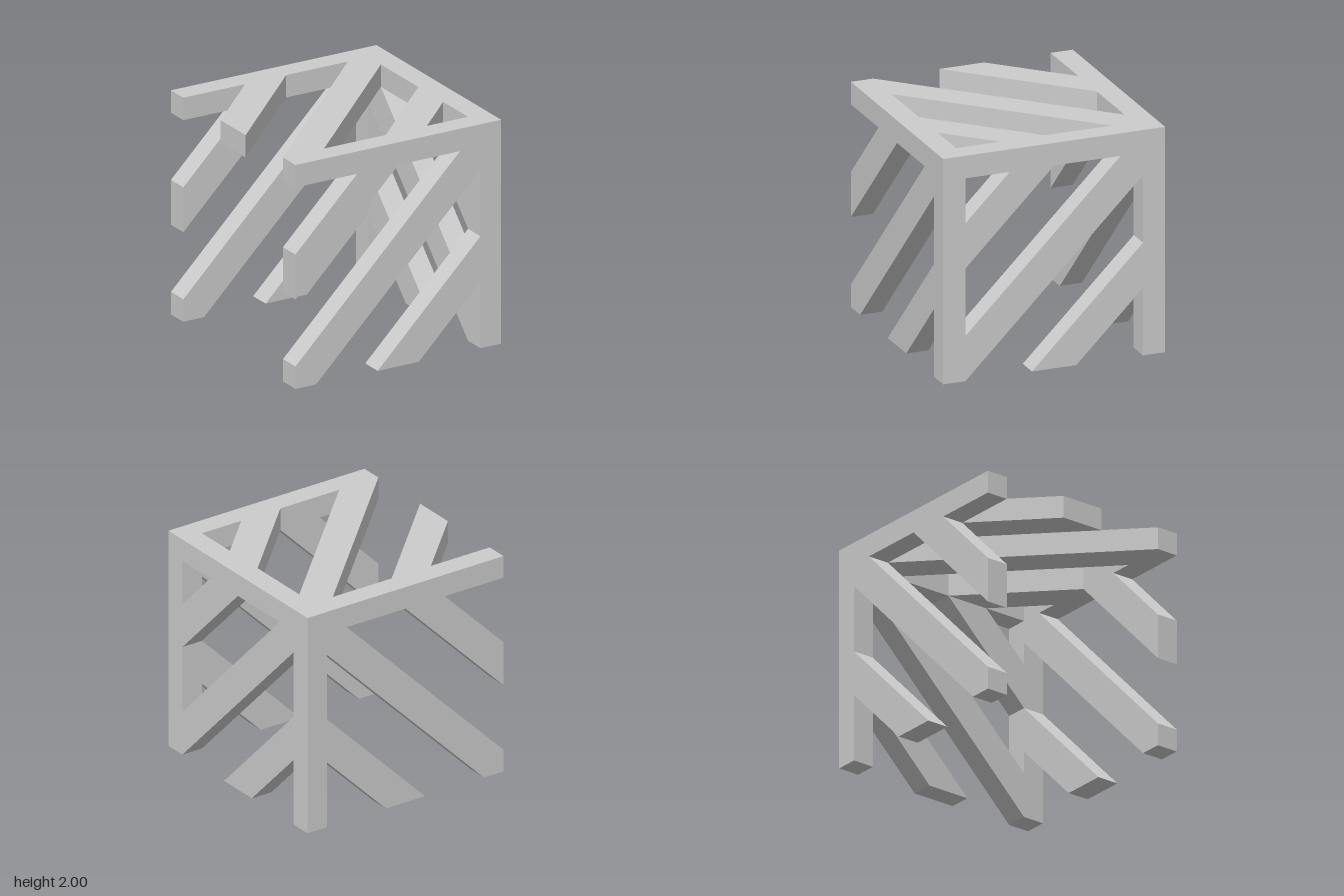
import * as THREE from 'three';

const T = 0.2; // thickness of every bar and slat
const material = new THREE.MeshStandardMaterial({ color: 0xcccccc, flatShading: true, side: THREE.DoubleSide });

export function createModel() {
  const model = new THREE.Group();

  const add = (parent, name, geometry) => {
    const mesh = new THREE.Mesh(geometry, material);
    mesh.name = name;
    parent.add(mesh);
    return mesh;
  };

  const bar = (name, w, h, d, x, y, z) =>
    add(model, name, new THREE.BoxGeometry(w, h, d)).position.set(x, y, z);

  // A panel of slats, each a flat outline extruded to the bar thickness
  const panel = (name, outlines) => {
    const group = new THREE.Group();
    group.name = name;
    outlines.forEach(([slat, points]) => {
      const shape = new THREE.Shape(points.map(([u, v]) => new THREE.Vector2(u, v)));
      add(group, slat, new THREE.ExtrudeGeometry(shape, { depth: T, bevelEnabled: false }));
    });
    model.add(group);
    return group;
  };

  // Top frame, open on its -x side
  bar('frontRail', 2, T, T, 0, 1.9, 0.9);
  bar('backRail', 2, T, T, 0, 1.9, -0.9);
  bar('sideRail', T, T, 1.6, 0.9, 1.9, 0);

  // Corner posts
  bar('frontPost', T, 1.8, T, 0.9, 0.9, 0.9);
  bar('backPost', T, 1.8, T, 0.9, 0.9, -0.9);

  // Matching front and back slats (u = x, v = y)
  const faceSlats = [
    ['upperSlat', [[-1, 0.8], [0, 1.8], [-0.4, 1.8], [-1, 1.2]]],
    ['longSlat', [[-1, 0], [-0.8, 0], [0.8, 1.6], [0.8, 1.8], [0.6, 1.8], [-1, 0.2]]],
    ['lowerSlat', [[-0.2, 0], [0.2, 0], [0.8, 0.6], [0.8, 1]]],
  ];
  panel('frontSlats', faceSlats).position.z = 0.8;
  panel('backSlats', faceSlats).position.z = -1;

  // Side slats between the posts (u = -z, v = y)
  const side = panel('sideSlats', [
    ['upperSlat', [[-0.8, 1], [0, 1.8], [-0.4, 1.8], [-0.8, 1.4]]],
    ['longSlat', [[-0.8, 0], [0.8, 1.6], [0.8, 1.8], [0.6, 1.8], [-0.8, 0.4]]],
    ['lowerSlat', [[-0.2, 0], [0.2, 0], [0.8, 0.6], [0.8, 1]]],
  ]);
  side.rotation.y = Math.PI / 2;
  side.position.x = 0.8;

  // Top slats inside the frame (u = x, v = -z)
  const top = panel('topSlats', [
    ['backSlat', [[-1, -0.2], [0, 0.8], [-0.4, 0.8], [-1, 0.2]]],
    ['longSlat', [[-1, -0.8], [-0.6, -0.8], [0.8, 0.6], [0.8, 0.8], [0.6, 0.8]]],
    ['frontSlat', [[0, -0.8], [0.4, -0.8], [0.8, -0.4], [0.8, 0]]],
  ]);
  top.rotation.x = -Math.PI / 2;
  top.position.y = 1.8;

  return model;
}
